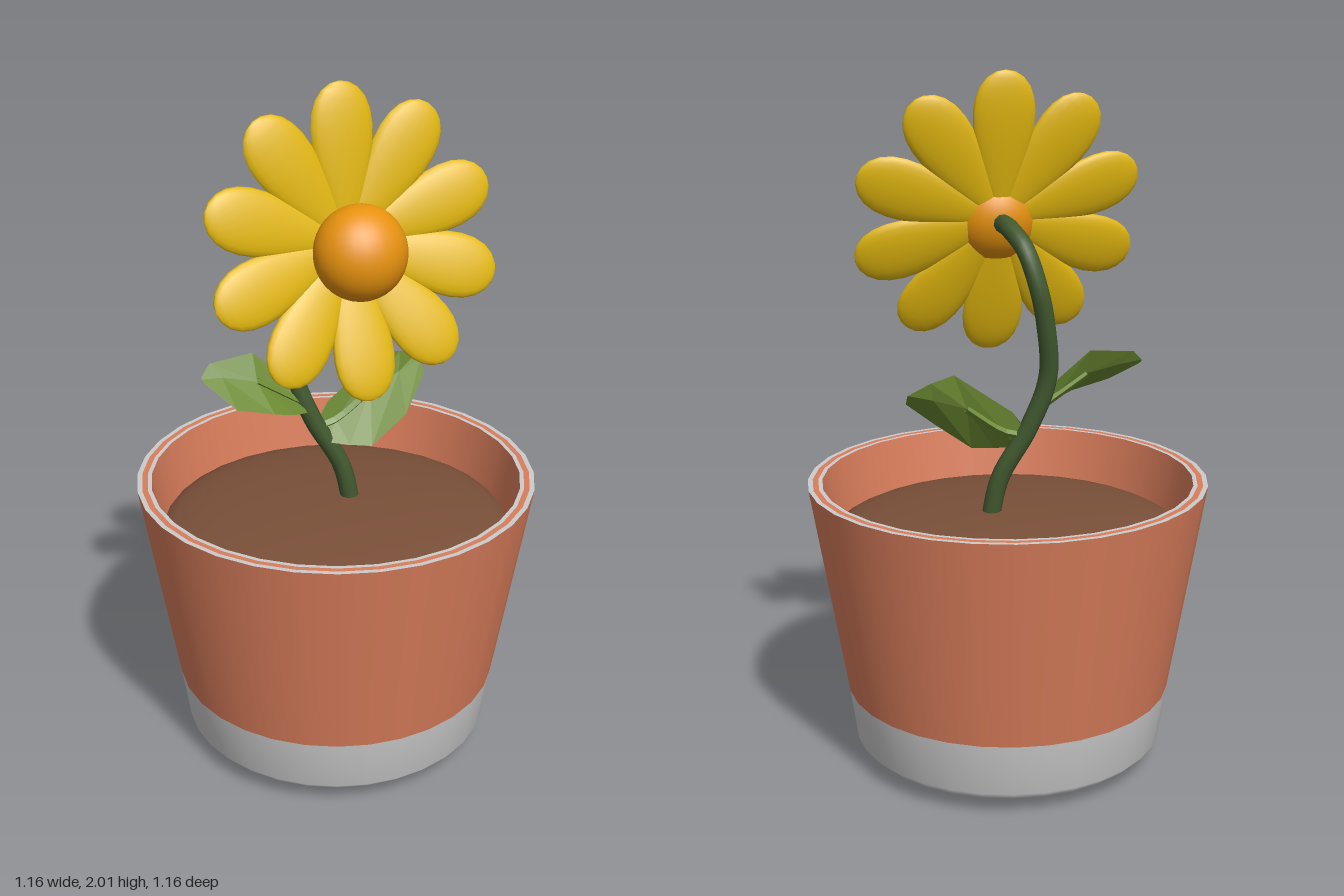
import * as THREE from 'three';

const mat = (name, color, extra = {}) => {
  const m = new THREE.MeshStandardMaterial({ color, ...extra });
  m.name = name;
  return m;
};

export function createModel() {
  const model = new THREE.Group();
  model.name = 'pottedFlower';
  const terracotta = mat('terracotta', 0xd97d5b);
  const grey = mat('pale grey', 0xcccccc);
  const soilBrown = mat('soil brown', 0x7a5039);
  const stemGreen = mat('stem green', 0x41592f);
  const leafGreen = mat('leaf green', 0x6c8a33, { side: THREE.DoubleSide, flatShading: true });
  const yellow = mat('petal yellow', 0xe3b80f);
  const orange = mat('disc orange', 0xf0980f);

  const add = (name, geometry, material, parent = model) => {
    const mesh = new THREE.Mesh(geometry, material);
    mesh.name = name;
    parent.add(mesh);
    return mesh;
  };
  const lathe = (name, points, material) =>
    add(name, new THREE.LatheGeometry(points.map(p => new THREE.Vector2(...p)), 32), material);
  const vec = p => new THREE.Vector3(...p);

  // Pot: grey dipped base, terracotta walls and a banded rim
  lathe('potBase', [[0, 0], [0.18, 0.002], [0.3, 0.01], [0.37, 0.02], [0.43, 0.045], [0.455, 0.07], [0.477, 0.225]], grey);
  lathe('potWall', [[0.477, 0.225], [0.58, 0.85]], terracotta);
  lathe('rimOuterBand', [[0.58, 0.85], [0.566, 0.85]], grey);
  lathe('rimMiddleBand', [[0.566, 0.85], [0.55, 0.85]], terracotta);
  lathe('rimInnerBand', [[0.55, 0.85], [0.538, 0.85]], grey);
  lathe('potInside', [[0.538, 0.85], [0.505, 0.66]], terracotta);

  // Domed soil
  const dome = [];
  for (let i = 0; i <= 8; i++) {
    const a = (i / 8) * Math.PI / 2;
    dome.push([0.515 * Math.cos(a), 0.68 + 0.08 * Math.sin(a)]);
  }
  lathe('soil', dome, soilBrown);

  // Curved stem
  const stemPath = new THREE.CatmullRomCurve3([
    [0.06, 0.72, -0.02], [0.03, 0.86, -0.03], [-0.05, 1.01, -0.05], [-0.1, 1.16, -0.07],
    [-0.085, 1.32, -0.1], [-0.06, 1.43, -0.11], [-0.03, 1.53, -0.08], [-0.005, 1.575, -0.01],
    [0, 1.582, 0.06], [0, 1.58, 0.13],
  ].map(vec));
  add('stem', new THREE.TubeGeometry(stemPath, 48, 0.027, 10), stemGreen);

  // Leaves: each row is back edge, midrib, front edge
  const makeLeaf = (name, rows) => {
    const leaf = new THREE.Group();
    leaf.name = name;
    model.add(leaf);
    const index = [];
    for (let r = 0; r < rows.length - 1; r++) {
      for (let c = 0; c < 2; c++) {
        const a = r * 3 + c;
        index.push(a, a + 1, a + 3, a + 1, a + 4, a + 3);
      }
    }
    const geometry = new THREE.BufferGeometry();
    geometry.setAttribute('position', new THREE.Float32BufferAttribute(rows.flat(2), 3));
    geometry.setIndex(index);
    geometry.computeVertexNormals();
    add(name + 'Blade', geometry, leafGreen, leaf);
    const rib = new THREE.CatmullRomCurve3(rows.slice(0, 3).map(r => vec(r[1])));
    add(name + 'Rib', new THREE.TubeGeometry(rib, 6, 0.012, 4), leafGreen, leaf);
  };
  makeLeaf('leftLeaf', [
    [[-0.045, 1.0, -0.05], [-0.05, 0.985, -0.045], [-0.02, 0.945, -0.02]],
    [[0, 1.06, -0.055], [0.02, 1.0, -0.045], [0.04, 0.938, 0.01]],
    [[0.17, 1.18, -0.065], [0.13, 1.075, -0.045], [0.1, 0.935, 0.035]],
    [[0.24, 1.165, -0.085], [0.23, 1.11, -0.065], [0.21, 1.015, 0.03]],
    [[0.31, 1.14, -0.11], [0.31, 1.125, -0.09], [0.305, 1.1, -0.05]],
  ]);
  makeLeaf('rightLeaf', [
    [[-0.08, 1.09, -0.055], [-0.085, 1.07, -0.05], [-0.08, 1.05, -0.02]],
    [[-0.09, 1.115, -0.06], [-0.13, 1.1, -0.05], [-0.13, 1.065, 0.01]],
    [[-0.22, 1.235, -0.085], [-0.22, 1.16, -0.05], [-0.2, 1.09, 0.035]],
    [[-0.35, 1.225, -0.08], [-0.32, 1.185, -0.06], [-0.31, 1.12, 0.03]],
    [[-0.38, 1.195, -0.065], [-0.38, 1.19, -0.06], [-0.375, 1.18, -0.05]],
  ]);

  // Flower head, tilted slightly upward
  const flower = new THREE.Group();
  flower.name = 'flowerHead';
  flower.position.set(0, 1.585, 0.09);
  flower.rotation.x = -0.26;
  model.add(flower);

  // Egg-shaped petal, narrow near the middle of the flower
  const petal = new THREE.SphereGeometry(1, 20, 14);
  const pos = petal.attributes.position;
  for (let i = 0; i < pos.count; i++) {
    const r = 0.222 + 0.208 * pos.getY(i);
    const width = 0.03 + 0.22 * r;
    pos.setXYZ(i, pos.getX(i) * width, r, pos.getZ(i) * width * 0.27);
  }
  petal.computeVertexNormals();
  for (let i = 0; i < 10; i++) {
    const pivot = new THREE.Group();
    pivot.name = 'petal' + (i + 1);
    pivot.rotation.z = i * Math.PI / 5;
    flower.add(pivot);
    add('petalBlade', petal, yellow, pivot).rotation.x = 0.1;
  }

  // Domed flower centre
  const disc = add('flowerCentre', new THREE.SphereGeometry(0.13, 28, 20), orange, flower);
  disc.scale.z = 0.86;
  disc.position.set(0, -0.022, 0.075);

  return model;
}
